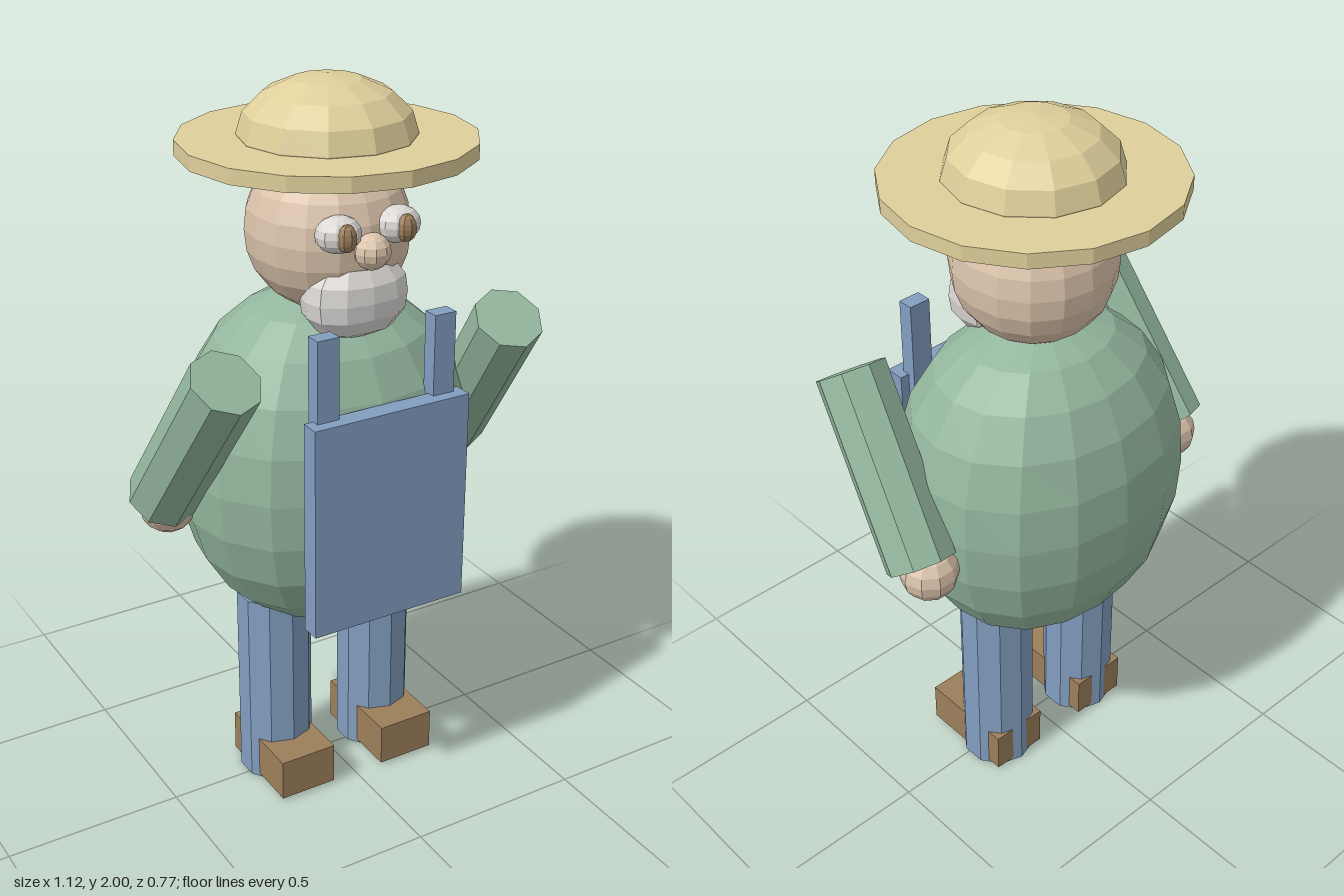
import * as THREE from 'three';

const flat = (name, color) => {
  const m = new THREE.MeshStandardMaterial({ color, flatShading: true });
  m.name = name;
  return m;
};

// Ellipsoid; a power above 2 makes it fuller between its axes
function ball(rx, ry, rz, cols, rows, power = 2) {
  const geometry = new THREE.SphereGeometry(1, cols, rows);
  const pos = geometry.attributes.position;
  const v = new THREE.Vector3();
  for (let i = 0; i < pos.count; i++) {
    v.fromBufferAttribute(pos, i);
    const sum = Math.abs(v.x) ** power + Math.abs(v.y) ** power + Math.abs(v.z) ** power;
    v.multiplyScalar(sum ** (-1 / power));
    pos.setXYZ(i, v.x * rx, v.y * ry, v.z * rz);
  }
  geometry.computeVertexNormals();
  return geometry;
}

export function createModel() {
  const model = new THREE.Group();
  model.name = 'farmer';

  const green = flat('shirt green', 0x93b69d);
  const blue = flat('denim blue', 0x829ec0);
  const skin = flat('skin', 0xdcc4ac);
  const straw = flat('straw', 0xdfcf9b);
  const brown = flat('brown', 0x9c7f5b);
  const white = flat('off white', 0xdcd9d6);

  const add = (name, geometry, material, x, y, z) => {
    const mesh = new THREE.Mesh(geometry, material);
    mesh.name = name;
    mesh.position.set(x, y, z);
    model.add(mesh);
    return mesh;
  };

  // Round torso and head
  add('torso', ball(0.408, 0.481, 0.335, 16, 12, 2.22), green, 0, 0.97, -0.025);
  add('head', ball(0.212, 0.212, 0.212, 16, 12, 2.15), skin, 0, 1.61, 0);
  add('nose', ball(0.049, 0.047, 0.047, 10, 8), skin, 0, 1.603, 0.215);
  add('beard', ball(0.142, 0.11, 0.1, 12, 8, 2.5), white, 0, 1.468, 0.13);

  // Straw hat
  add('hatCrown', ball(0.23, 0.15, 0.23, 12, 8), straw, 0, 1.85, 0);
  add('hatBrim', new THREE.CylinderGeometry(0.385, 0.385, 0.04, 16), straw, 0, 1.827, 0);

  // Overall bib
  add('bib', new THREE.BoxGeometry(0.46, 0.592, 0.055), blue, 0, 0.916, 0.3);

  for (const s of [1, -1]) {
    const side = s > 0 ? 'left' : 'right';

    add(side + 'Strap', new THREE.BoxGeometry(0.063, 0.28, 0.045), blue, s * 0.172, 1.292, 0.272);

    // Eyes
    add(side + 'Eye', ball(0.06, 0.046, 0.048, 12, 8, 2.2), white, s * 0.086, 1.655, 0.196);
    add(side + 'Pupil', ball(0.026, 0.035, 0.024, 8, 8, 2.2), brown, s * 0.086, 1.655, 0.236);

    // Sloping arm, running from the low rear hand to the raised front end
    const low = new THREE.Vector3(s * 0.463, 0.92, -0.075);
    const high = new THREE.Vector3(s * 0.42, 1.35, 0.23);
    const axis = high.clone().sub(low);
    const mid = low.clone().add(high).multiplyScalar(0.5);
    const arm = add(side + 'Arm', new THREE.CylinderGeometry(0.096, 0.096, axis.length(), 8),
      green, mid.x, mid.y, mid.z);
    arm.quaternion.setFromUnitVectors(new THREE.Vector3(0, 1, 0), axis.normalize());
    add(side + 'Hand', ball(0.08, 0.08, 0.08, 10, 8), skin, s * 0.445, 0.892, -0.083);

    // Leg and boxy shoe
    add(side + 'Leg', new THREE.CylinderGeometry(0.105, 0.105, 0.58, 10), blue, s * 0.163, 0.29, -0.018);
    add(side + 'Shoe', new THREE.BoxGeometry(0.168, 0.12, 0.287), brown, s * 0.164, 0.07, 0.029);
  }

  return model;
}
